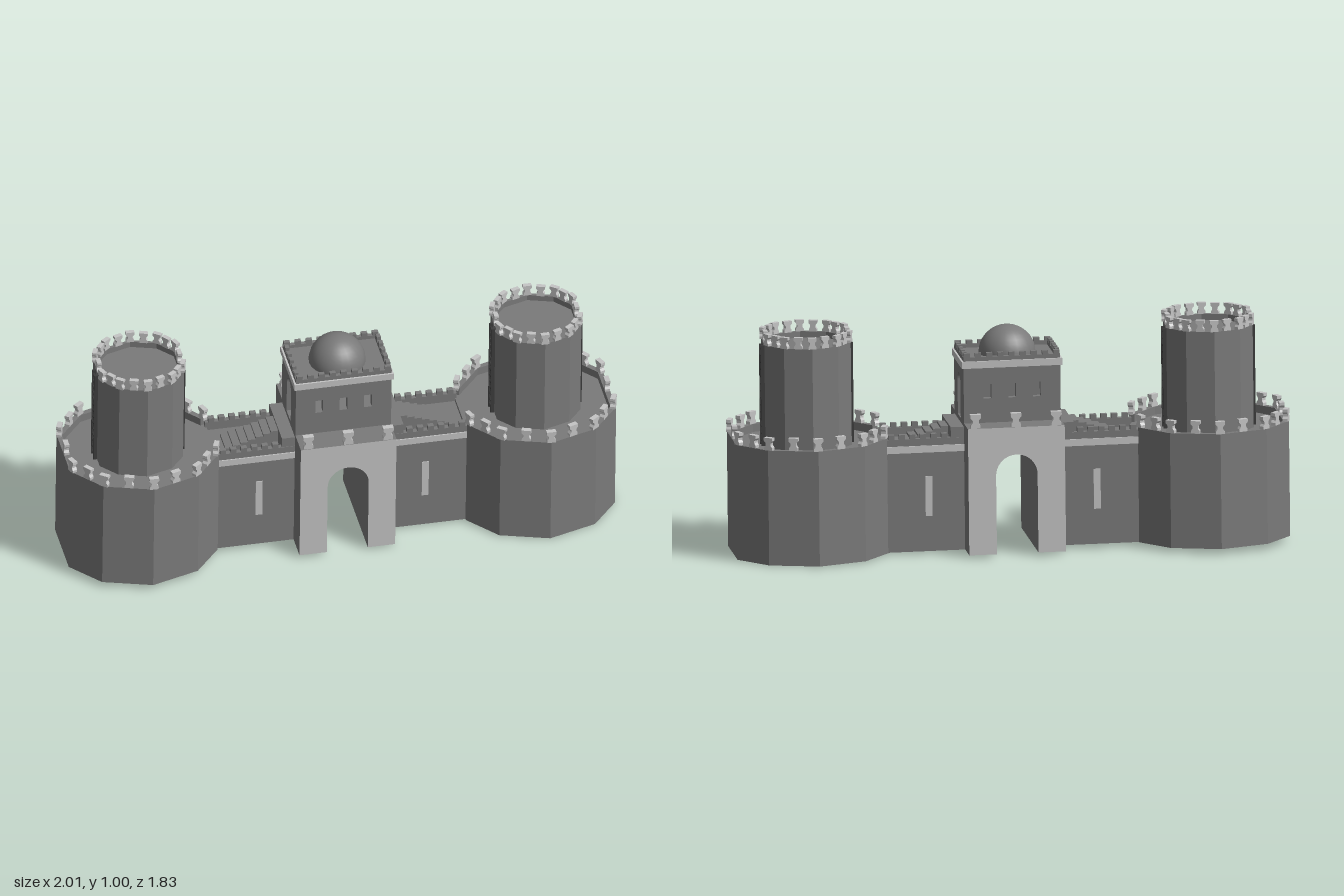
import * as THREE from 'three';

const stone = new THREE.MeshStandardMaterial({ color: 0x7a7a7a });
stone.name = 'stone';
const pale = new THREE.MeshStandardMaterial({ color: 0xc4c4c4 });
pale.name = 'paleStone';
const dark = new THREE.MeshStandardMaterial({ color: 0x3c3c3c });
dark.name = 'darkWood';

// Ten-sided plan shared by bastions and towers
const PLAN = [[.327, .138], [.21, .275], [0, .34], [-.21, .275], [-.327, .138],
  [-.327, -.138], [-.21, -.275], [0, -.34], [.21, -.275], [.327, -.138]];
const plan = (s) => PLAN.map(([x, y]) => new THREE.Vector2(x * s, y * s));

function add(parent, name, geo, mat, x = 0, y = 0, z = 0) {
  const m = new THREE.Mesh(geo, mat);
  m.name = name;
  m.position.set(x, y, z);
  parent.add(m);
  return m;
}
// Box standing on y
function box(parent, name, mat, w, h, d, x, y, z) {
  return add(parent, name, new THREE.BoxGeometry(w, h, d), mat, x, y + h / 2, z);
}
const extrude = (shape, depth) =>
  new THREE.ExtrudeGeometry(shape, { depth, bevelEnabled: false, curveSegments: 10 });
const upright = (shape, h) => extrude(shape, h).rotateX(-Math.PI / 2);

// Waisted battlement stone
const merlonGeo = extrude(new THREE.Shape([[-.019, 0], [.019, 0], [.019, .012], [.012, .022],
  [.012, .032], [.021, .042], [.021, .055], [-.021, .055], [-.021, .042], [-.012, .032],
  [-.012, .022], [-.019, .012]].map((p) => new THREE.Vector2(...p))), .022).translate(0, 0, -.011);

function merlon(parent, x, y, z, angle, s = 1) {
  const m = add(parent, 'merlon', merlonGeo, pale, x, y, z);
  m.rotation.y = angle;
  m.scale.setScalar(s);
}

// Solid prism with a raised rim and merlons; an open rim leaves the +x side free
function drum(parent, name, scale, y0, floor, top, rim, open, ms) {
  const g = new THREE.Group();
  g.name = name;
  parent.add(g);
  add(g, name + 'Body', upright(new THREE.Shape(plan(scale)), floor - y0), stone, 0, y0, 0);
  const inner = plan(scale - rim).reverse();
  let ring;
  if (open) ring = new THREE.Shape([...plan(scale), ...inner]);
  else {
    ring = new THREE.Shape(plan(scale));
    ring.holes.push(new THREE.Path(inner));
  }
  add(g, name + 'Parapet', upright(ring, top - floor), stone, 0, floor, 0);
  const k = scale - rim / 2;
  PLAN.forEach(([x, z], i) => {
    const [nx, nz] = PLAN[(i + 1) % 10];
    merlon(g, x * k, top, z * k, Math.atan2(x, z), ms);
    if (open && i === 9) return;
    const mx = (x + nx) / 2, mz = (z + nz) / 2;
    merlon(g, mx * k, top, mz * k, Math.atan2(mx, mz), ms);
  });
  return g;
}

function ladder(parent, x) {
  const g = new THREE.Group();
  g.name = 'ladder';
  parent.add(g);
  for (const z of [-.022, .022]) box(g, 'ladderRail', dark, .016, .44, .007, x, .47, z);
  for (let i = 0; i < 14; i++) box(g, 'ladderRung', dark, .01, .007, .044, x, .485 + i * .031, 0);
}

// Arched outline, drawn counter-clockwise from the lower right
function arch(path, r, y0, spring) {
  path.moveTo(r, y0);
  path.lineTo(r, spring);
  path.absarc(0, spring, r, 0, Math.PI, false);
  path.lineTo(-r, y0);
  path.closePath();
  return path;
}

function rect(Type, x0, y0, x1, y1) {
  return new Type([[x0, y0], [x1, y0], [x1, y1], [x0, y1]].map((p) => new THREE.Vector2(...p)));
}

// Bastion, tower, ladders, curtain wall and stairs for one side; inner side faces +x
function wing() {
  const g = new THREE.Group();
  g.name = 'wing';
  const ends = new THREE.Group();
  ends.name = 'bastionAndTower';
  ends.position.x = -.872;
  g.add(ends);
  drum(ends, 'bastion', 1, 0, .47, .505, .07, true, 1);
  drum(ends, 'tower', .56, .47, .895, .922, .04, false, .9);
  ladder(ends, .192);
  ladder(ends, -.192);

  // Curtain wall with pale band, parapets and crenels
  const cx = -.38, len = .345;
  box(g, 'curtainWall', stone, len, .455, .26, cx, 0, 0);
  for (const s of [-1, 1]) {
    box(g, 'wallBand', pale, len, .03, .008, cx, .435, s * .133);
    box(g, 'wallParapet', stone, len, .04, .022, cx, .455, s * .121);
    for (let i = 0; i < 6; i++)
      box(g, 'wallCrenel', stone, .026, .02, .022, -.295 - i * .046, .495, s * .121);
    box(g, 'wallSlit', pale, .03, .175, .006, -.365, .155, s * .131);
  }

  // Stairs climbing to the gatehouse landing
  box(g, 'landing', stone, .06, .085, .26, -.237, .455, 0);
  for (let i = 0; i < 7; i++)
    box(g, 'stairStep', stone, .033, .075 - i * .0105, .11, -.283 - i * .033, .455, 0);
  return g;
}

function gatehouse() {
  const g = new THREE.Group();
  g.name = 'gatehouse';

  // Gate block pierced by an arched passage, pale faces at both ends
  const s = new THREE.Shape();
  s.moveTo(-.21, 0);
  s.lineTo(-.09, 0);
  s.lineTo(-.09, .345);
  s.absarc(0, .345, .09, Math.PI, 0, true);
  s.lineTo(.09, 0);
  s.lineTo(.21, 0);
  s.lineTo(.21, .555);
  s.lineTo(-.21, .555);
  s.closePath();
  add(g, 'gateBlock', extrude(s, .5).translate(0, 0, -.25), [pale, stone]);
  for (const z of [-.235, .235])
    for (const x of [-.175, 0, .175]) merlon(g, x, .555, z, 0, 1.1);

  // Upper room: long walls with three windows, end walls with an arched doorway
  const longWall = rect(THREE.Shape, -.21, .555, .21, .825);
  for (const x of [-.107, 0, .107])
    longWall.holes.push(rect(THREE.Path, x - .017, .662, x + .017, .725));
  const endWall = rect(THREE.Shape, -.11, .555, .11, .825);
  endWall.holes.push(arch(new THREE.Path(), .042, .56, .71));
  for (const side of [-1, 1]) {
    const a = side > 0 ? 0 : Math.PI;
    add(g, 'roomLongWall', extrude(longWall, .028), stone, 0, 0, side * .11).rotation.y = a;
    add(g, 'roomEndWall', extrude(endWall, .028), stone, side * .182).rotation.y = a + Math.PI / 2;

    // Pale band, parapet and crenels
    box(g, 'roomBand', pale, .436, .03, .008, 0, .797, side * .142);
    box(g, 'roomBand', pale, .008, .03, .276, side * .214, .797, 0);
    box(g, 'roomParapet', stone, .42, .02, .018, 0, .825, side * .129);
    box(g, 'roomParapet', stone, .018, .02, .24, side * .201, .825, 0);
    for (let i = -4; i <= 4; i++)
      box(g, 'roomCrenel', stone, .026, .017, .018, i * .0485, .845, side * .129);
    for (let i = -2; i <= 2; i++)
      box(g, 'roomCrenel', stone, .018, .017, .026, side * .201, .845, i * .047);
  }
  box(g, 'roomRoof', stone, .4, .02, .26, 0, .81, 0);
  add(g, 'dome', new THREE.SphereGeometry(.123, 24, 10, 0, Math.PI * 2, 0, Math.PI / 2), stone, 0, .83, 0);
  return g;
}

export function createModel() {
  const castle = new THREE.Group();
  castle.name = 'castle';
  // The whole castle runs diagonally and leans very slightly along its length
  const body = new THREE.Group();
  body.name = 'castleBody';
  body.rotation.set(0, -.712, -.0112);
  body.position.y = .0135;
  castle.add(body);
  const left = wing();
  const right = wing();
  right.rotation.y = Math.PI;
  body.add(left, right, gatehouse());
  return castle;
}
